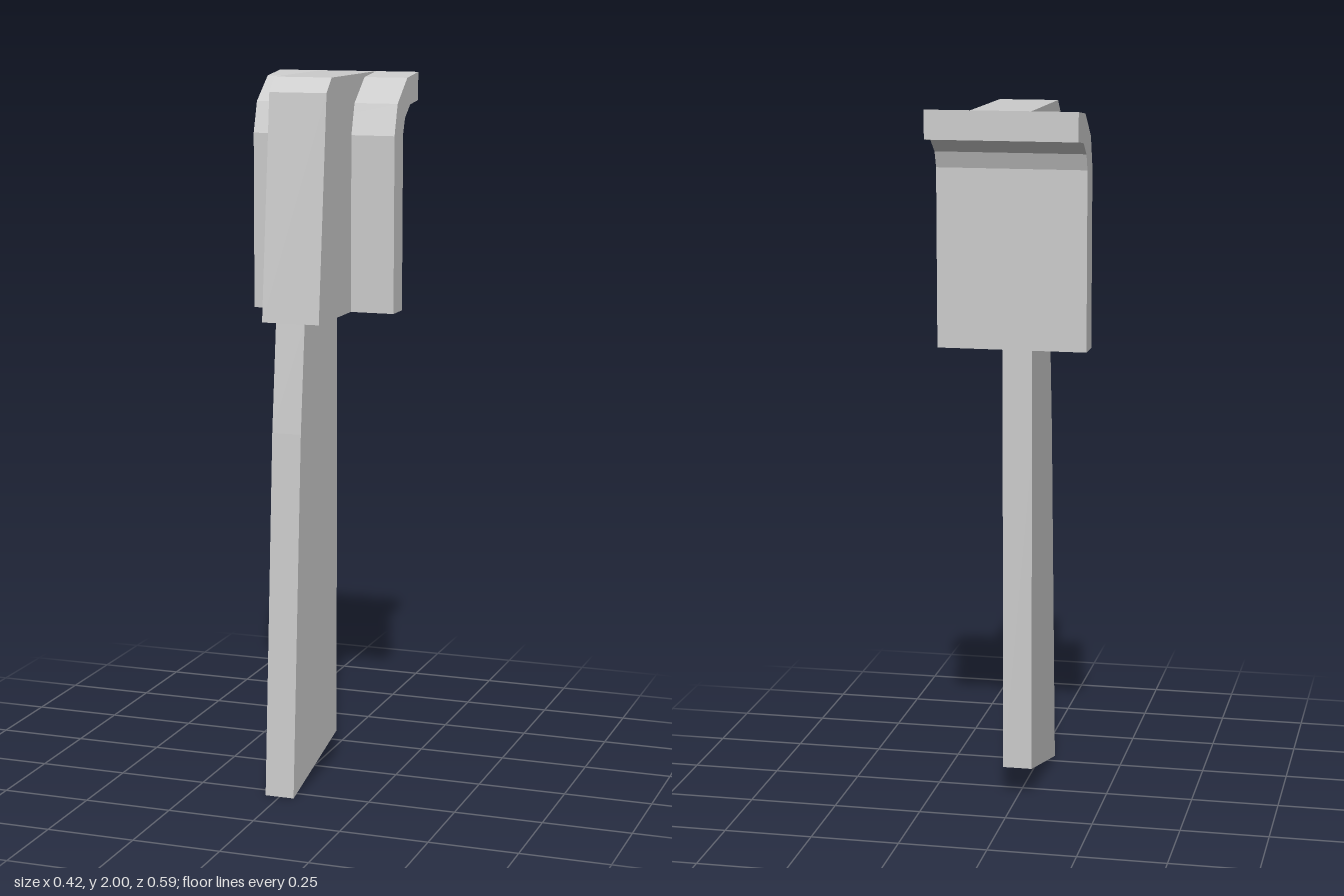
import * as THREE from 'three';

const material = new THREE.MeshStandardMaterial({ color: 0xcccccc, flatShading: true, side: THREE.DoubleSide });

// Extrudes a side profile of [z, y] points to a width centred on x = 0
function profilePart(name, points, width) {
  const shape = new THREE.Shape(points.map(([z, y]) => new THREE.Vector2(z, y)));
  const geometry = new THREE.ExtrudeGeometry(shape, { depth: width, bevelEnabled: false });
  geometry.translate(0, 0, -width / 2).rotateY(-Math.PI / 2);
  const mesh = new THREE.Mesh(geometry, material);
  mesh.name = name;
  return mesh;
}

// Walls of the long blade, open at its slanted lower end
function createBlade(halfWidth) {
  // [front z, front y, back z, back y]
  const sections = [
    [0.293, 0, -0.076, 0.088],
    [0.23, 1.03, -0.076, 1.03],
    [0.198, 1.332, -0.076, 1.332],
  ];
  const rings = sections.map(([zf, yf, zb, yb]) => [
    [halfWidth, yf, zf], [halfWidth, yb, zb], [-halfWidth, yb, zb], [-halfWidth, yf, zf],
  ]);
  const positions = [];
  for (let s = 0; s < rings.length - 1; s++) {
    for (let i = 0; i < 4; i++) {
      const j = (i + 1) % 4;
      const a = rings[s][i], b = rings[s][j], c = rings[s + 1][j], d = rings[s + 1][i];
      positions.push(...a, ...b, ...c, ...a, ...c, ...d);
    }
  }
  const geometry = new THREE.BufferGeometry();
  geometry.setAttribute('position', new THREE.Float32BufferAttribute(positions, 3));
  geometry.computeVertexNormals();
  const mesh = new THREE.Mesh(geometry, material);
  mesh.name = 'blade';
  return mesh;
}

export function createModel() {
  const group = new THREE.Group();
  group.name = 'hookedBracket';

  // Curve shared by the front of the hook plate and the back of the head
  const bend = [[-0.076, 1.332], [-0.076, 1.832], [-0.103, 1.92], [-0.191, 1.988], [-0.295, 2]];

  const hookPlate = profilePart('hookPlate', [
    ...bend,
    [-0.295, 1.92], [-0.22, 1.912], [-0.172, 1.877], [-0.155, 1.832], [-0.155, 1.332],
  ], 0.42);

  const head = profilePart('head', [
    ...bend,
    [0.092, 2], [0.135, 1.96], [0.198, 1.332],
  ], 0.166);

  group.add(hookPlate, head, createBlade(0.042));
  return group;
}
